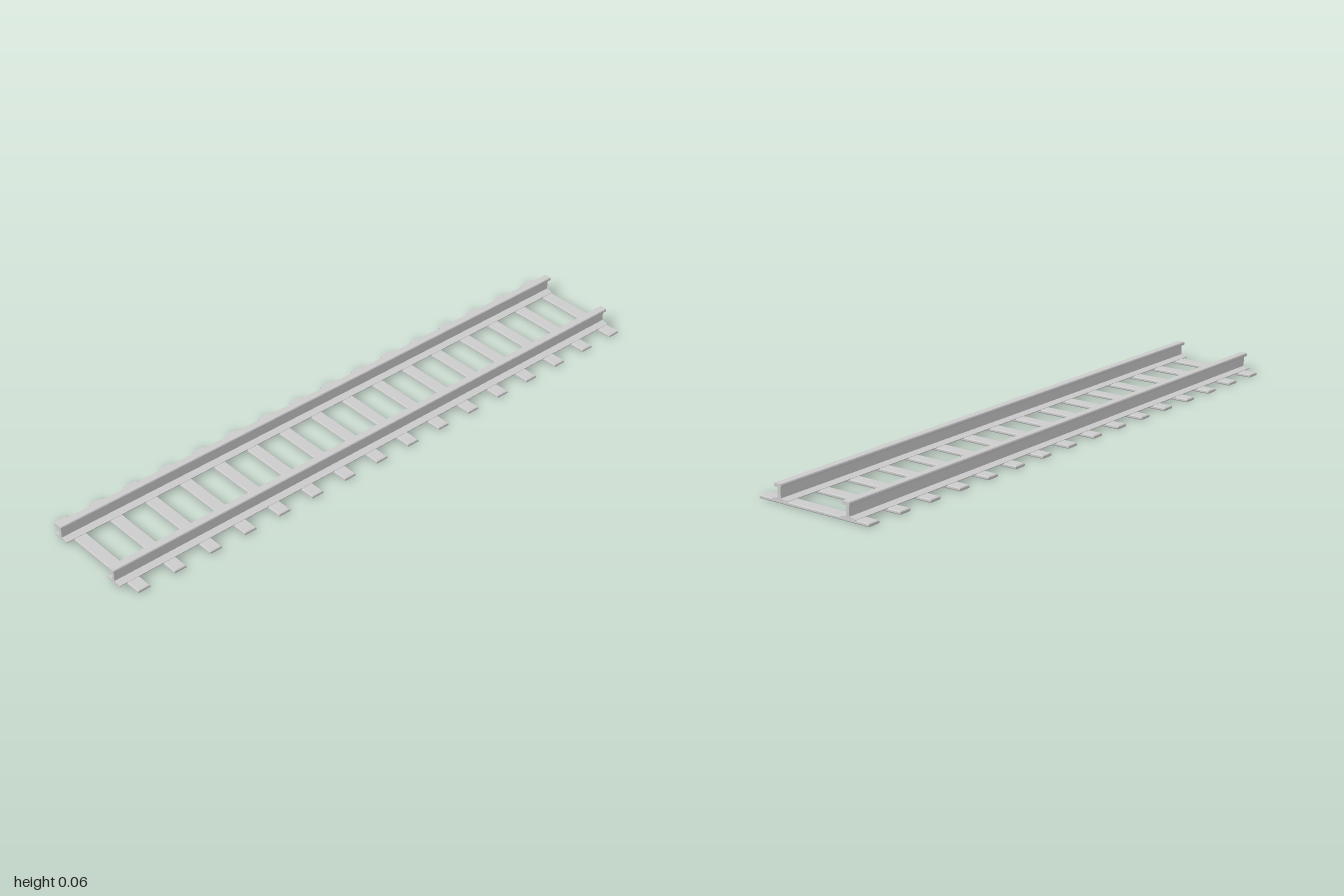
import * as THREE from 'three';

const material = new THREE.MeshStandardMaterial({ color: 0xcccccc, flatShading: true });

// Mirrors a half profile (x >= 0) and extrudes it along z, centred
function extrudeProfile(half, length) {
  const mirrored = half.map(([x, y]) => [-x, y]).reverse();
  const shape = new THREE.Shape([...half, ...mirrored].map(([x, y]) => new THREE.Vector2(x, y)));
  return new THREE.ExtrudeGeometry(shape, { depth: length, bevelEnabled: false })
    .translate(0, 0, -length / 2);
}

// Plank with chamfered edges all round, standing on y = 0
function sleeperGeometry(width, height, depth) {
  const c = 0.0025;
  const w = width / 2 - c, d = depth / 2 - c;
  const shape = new THREE.Shape([[-w, -d], [w, -d], [w, d], [-w, d]].map(([x, y]) => new THREE.Vector2(x, y)));
  return new THREE.ExtrudeGeometry(shape, {
    depth: height - 2 * c, bevelThickness: c, bevelSize: c, bevelSegments: 1,
  }).rotateX(-Math.PI / 2).translate(0, c, 0);
}

export function createModel() {
  const model = new THREE.Group();
  model.name = 'railwayTrack';
  const add = (parent, name, geometry, x = 0, z = 0) => {
    const mesh = new THREE.Mesh(geometry, material);
    mesh.name = name;
    mesh.position.set(x, 0, z);
    parent.add(mesh);
  };

  // Sleepers
  const sleepers = new THREE.Group();
  sleepers.name = 'sleepers';
  const plank = sleeperGeometry(0.408, 0.0105, 0.042);
  for (let i = 0; i < 16; i++) add(sleepers, `sleeper${i + 1}`, plank, 0, -0.972 + i * 0.1278);
  model.add(sleepers);

  // Rails: sloped foot with a thin web, and a chamfered head
  const base = extrudeProfile(
    [[0.029, 0.009], [0.029, 0.0115], [0.015, 0.0145], [0.006, 0.0165], [0.0055, 0.05]], 1.988);
  const head = extrudeProfile(
    [[0.0115, 0.0495], [0.0135, 0.0515], [0.0135, 0.0575], [0.0115, 0.0605]], 2);
  for (const [name, x] of [['leftRail', 0.1255], ['rightRail', -0.1285]]) {
    const rail = new THREE.Group();
    rail.name = name;
    add(rail, 'footAndWeb', base, x);
    add(rail, 'head', head, x);
    model.add(rail);
  }
  return model;
}
